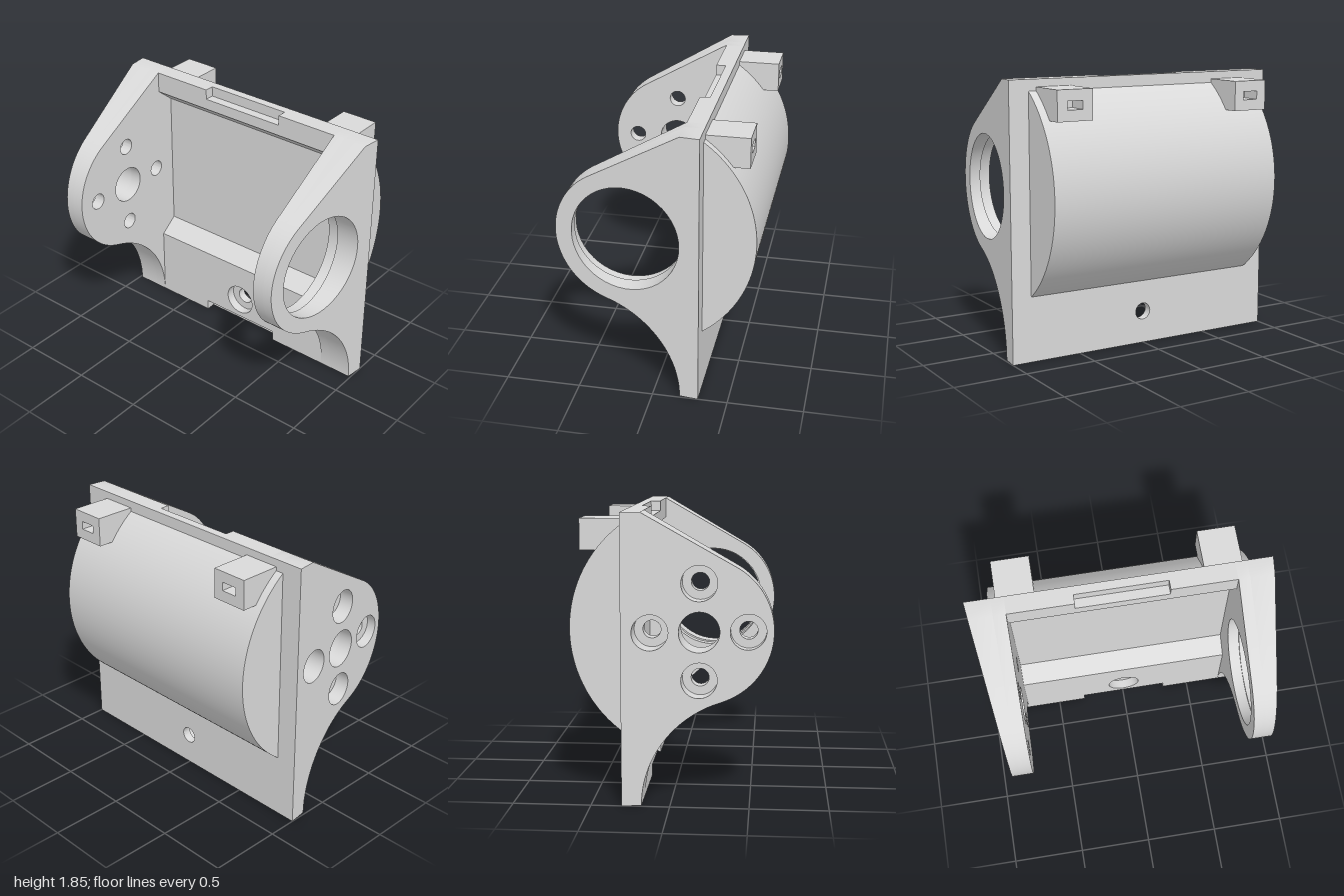
import * as THREE from 'three';
import { toCreasedNormals } from 'three/addons/utils/BufferGeometryUtils.js';

const BACK = -0.305, MID = -0.245, FRONT = -0.18, TOP = 1.85;
const CX = 0.004;               // middle of the window, lips and drum
const INNER = 0.745;            // half width between the cheeks
const AZ = 0.18, AY = 1.107;    // shared axis of the cheek holes and the rear drum

// points on an arc, angles in degrees
function arc(cx, cy, r, a0, a1, n = 32) {
  return Array.from({ length: n + 1 }, (_, i) => {
    const a = THREE.MathUtils.degToRad(a0 + (a1 - a0) * i / n);
    return [cx + r * Math.cos(a), cy + r * Math.sin(a)];
  });
}

const hole = (x, y, r) => arc(x, y, r, 0, 360, 48).slice(0, -1);
const rect = (x0, y0, x1, y1) => [[x0, y0], [x1, y0], [x1, y1], [x0, y1]];

// outlines run anticlockwise and holes clockwise, so all walls face outward
function extrude(outline, holes, depth) {
  const wind = (pts, clockwise) => {
    const v = pts.map((p) => new THREE.Vector2(p[0], p[1]));
    return THREE.ShapeUtils.isClockWise(v) === clockwise ? v : v.reverse();
  };
  const shape = new THREE.Shape(wind(outline, false));
  holes.forEach((h) => shape.holes.push(new THREE.Path(wind(h, true))));
  return new THREE.ExtrudeGeometry(shape, { depth, bevelEnabled: false });
}

// outline in (x, y), thickness from z0 to z1
function slabZ(outline, holes, z0, z1) {
  return toCreasedNormals(extrude(outline, holes, z1 - z0).translate(0, 0, z0), 0.6);
}

// outline in (z, y), thickness along x from d0 to d1 on the given side;
// d1 may be a function of z for a tapered outer face
function slabX(outline, holes, d0, d1, side = 1) {
  const flip = (pts) => pts.map(([z, y]) => [-side * z, y]);
  const geo = extrude(flip(outline), holes.map(flip), 1);
  const p = geo.attributes.position;
  for (let i = 0; i < p.count; i++) {
    const outer = typeof d1 === 'function' ? d1(-side * p.getX(i)) : d1;
    p.setZ(i, p.getZ(i) > 0.5 ? outer : d0);
  }
  geo.rotateY(side * Math.PI / 2);
  return toCreasedNormals(geo, 0.6);
}

export function createModel() {
  const model = new THREE.Group();
  model.name = 'bracket';
  const grey = new THREE.MeshStandardMaterial({ color: 0xd9d9d9 });
  grey.name = 'plain grey';
  const add = (name, geo, x = CX) => {
    const mesh = new THREE.Mesh(geo, grey);
    mesh.name = name;
    mesh.position.x = x;
    model.add(mesh);
  };

  // cheeks: concave foot, round nose, straight slope to the top
  const cheek = [
    [BACK, 0],
    ...arc(0.509, 0, 0.689, 180, 106.5),
    ...arc(AZ, AY, 0.465, -73.5, 60.1, 48).slice(1),
    [FRONT, TOP], [BACK, TOP],
  ];
  const STEP = 0.825;
  const addCheek = (name, side, innerHoles, outerHoles) => {
    const taper = (z) => 1 - (z - BACK) * (0.119 - side * 0.003);
    add(name + 'Inner', slabX(cheek, innerHoles, INNER + side * CX, STEP, side), 0);
    add(name + 'Outer', slabX(cheek, outerHoles, STEP, taper, side), 0);
  };

  // left cheek: one large bore, slightly relieved on the inside
  addCheek('leftCheek', 1, [hole(AZ, AY, 0.367)], [hole(AZ, AY, 0.356)]);

  // right cheek: shaft hole and four screw holes, counterbored outside
  const screws = (r) => [0, 1, 2, 3].map((i) => {
    const a = i * Math.PI / 2;
    return hole(AZ + 0.305 * Math.cos(a), AY + 0.305 * Math.sin(a), r);
  });
  const shaft = hole(AZ, AY, 0.128);
  addCheek('rightCheek', -1, [shaft, ...screws(0.057)], [shaft, ...screws(0.113)]);

  // lower lip with counterbored screw hole and bottom notch
  const N = 0.308, W = INNER;
  add('lowerLipBack', slabZ(rect(-W, 0, W, 0.51), [hole(0, 0.223, 0.057)], BACK, MID));
  add('lowerLipFront', slabZ(
    [[-W, 0], [-N, 0], [-N, 0.075], [N, 0.075], [N, 0], [W, 0], [W, 0.51], [-W, 0.51]],
    [hole(0, 0.223, 0.113)], MID, FRONT));

  // upper lip with top notch
  add('upperLipBack', slabZ(rect(-W, 1.705, W, TOP), [], BACK, MID));
  add('upperLipFront', slabZ(
    [[-W, 1.705], [W, 1.705], [W, TOP], [N, TOP], [N, 1.78], [-N, 1.78], [-N, TOP], [-W, TOP]],
    [], MID, FRONT));

  // sloped edges of the window
  add('lowerChamfer', slabX([[FRONT, 0.51], [BACK, 0.605], [BACK, 0.51]], [], -W, W));
  add('upperChamfer', slabX([[FRONT, 1.705], [BACK, 1.705], [BACK, 1.605]], [], -W, W));

  // rounded drum closing the window from behind
  add('rearDrum', slabX(arc(AZ, AY, 0.825, 126, 234, 64), [], -0.858, 0.858));

  // slotted clips on the back
  for (const s of [-1, 1]) {
    const cx = s * 0.677, h = 0.126;
    const face = rect(cx - h, 1.6, cx + h, 1.8);
    const slot = rect(cx - 0.056, 1.672, cx + 0.056, 1.728);
    const side = s > 0 ? 'left' : 'right';
    add(side + 'ClipSlot', slabZ(face, [slot], -0.585, -0.45));
    add(side + 'ClipBase', slabZ(face, [], -0.45, BACK));
  }
  return model;
}
